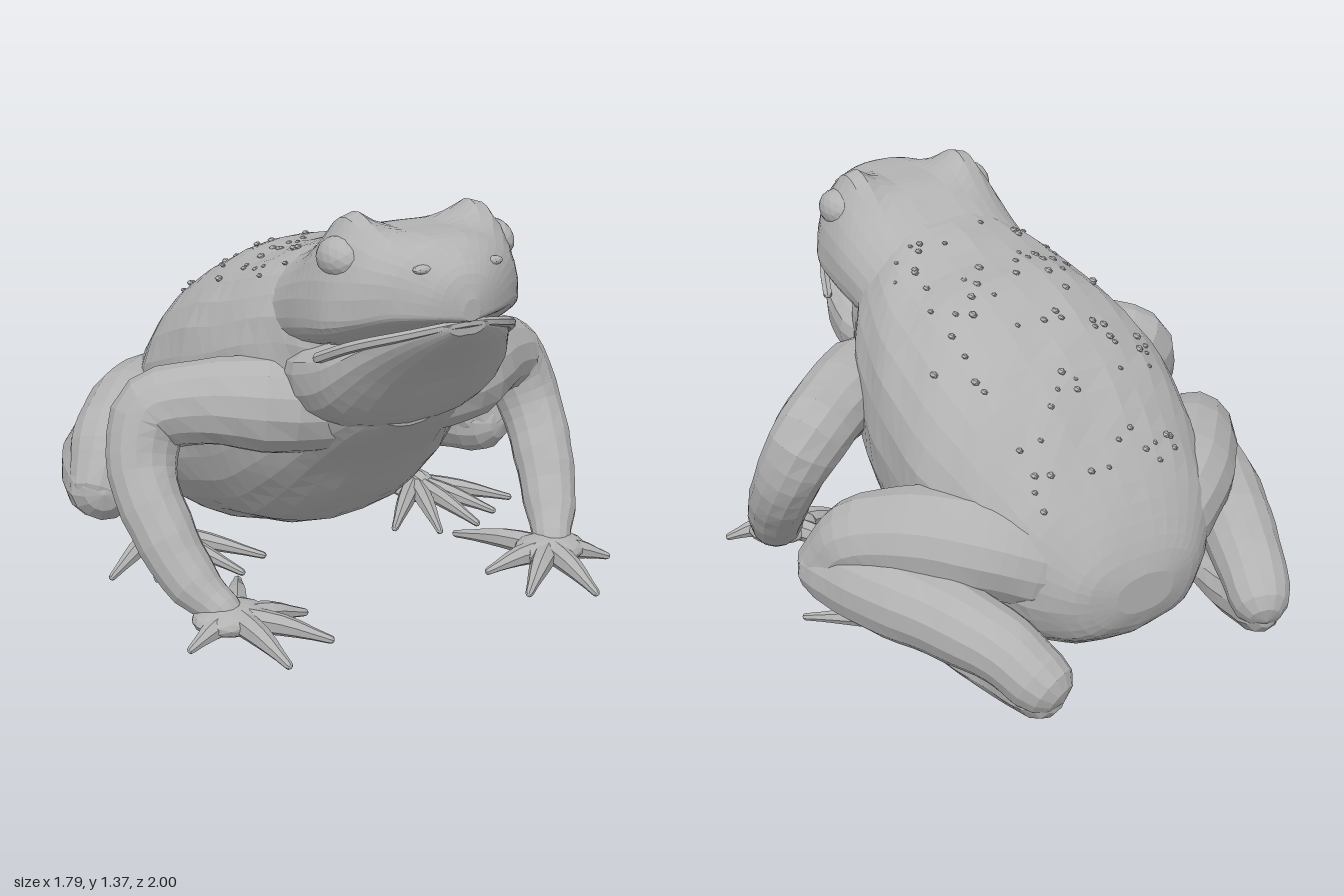
import * as THREE from 'three';

const skin = new THREE.MeshStandardMaterial({ color: 0xb2b2b2 });
skin.name = 'grey skin';
const V = (x, y, z) => new THREE.Vector3(x, y, z);

// Gentle symmetric unevenness, depending only on position
const bump = (p, a) => a * Math.sin(23 * Math.abs(p.x) + 17 * p.y) * Math.sin(19 * p.z - 13 * p.y);

// Faceted mesh from a grid of closed rings
function skinRings(rings, name, wobble = 0) {
  const n = rings[0].length, pos = [], idx = [];
  for (const ring of rings) {
    const c = ring.reduce((s, p) => s.add(p), V(0, 0, 0)).divideScalar(n);
    for (const p of ring) {
      const d = p.clone().sub(c);
      if (d.length() > 0.03) d.setLength(d.length() + bump(p, wobble));
      pos.push(...d.add(c).toArray());
    }
  }
  for (let i = 0; i < rings.length - 1; i++) {
    for (let j = 0; j < n; j++) {
      const k = (j + 1) % n, a = i * n + j, b = i * n + k, c = a + n, d = b + n;
      idx.push(a, c, b, b, c, d);
    }
  }
  const g = new THREE.BufferGeometry();
  g.setAttribute('position', new THREE.Float32BufferAttribute(pos, 3));
  g.setIndex(idx);
  return facet(g, name);
}

function facet(g, name) {
  const flat = g.index ? g.toNonIndexed() : g;
  flat.computeVertexNormals();
  const m = new THREE.Mesh(flat, skin);
  m.name = name;
  return m;
}

// Smooth interpolation of a list of number rows, u from 0 to 1
function sample(rows, u) {
  const f = u * (rows.length - 1), i = Math.min(Math.floor(f), rows.length - 2), t = f - i;
  const at = k => rows[Math.max(0, Math.min(rows.length - 1, k))];
  return rows[0].map((_, c) => {
    const [a, b, d, e] = [at(i - 1)[c], at(i)[c], at(i + 1)[c], at(i + 2)[c]];
    return b + 0.5 * t * (d - a + t * (2 * a - 5 * b + 4 * d - e + t * (3 * (b - d) + e - a)));
  });
}

// Point on a section [z, top, bottom, halfWidth, heightOfWidestPoint]
function sectionPoint([z, top, bottom, w, mid], t) {
  const c = Math.cos(t), s = Math.sin(t), p = 0.85;
  return V(w * Math.sign(c) * Math.abs(c) ** p,
    mid + (s > 0 ? top - mid : mid - bottom) * Math.sign(s) * Math.abs(s) ** p, z);
}

// Loft through sections; shape may move each point
function loft(rows, name, count, sides, wobble, shape = p => p) {
  const rings = [];
  const ring = row => Array.from({ length: sides }, (_, j) => shape(sectionPoint(row, j / sides * Math.PI * 2)));
  const tip = row => Array.from({ length: sides }, () => V(0, row[4], row[0]));
  rings.push(tip(rows[0]));
  for (let i = 0; i <= count; i++) rings.push(ring(sample(rows, i / count)));
  rings.push(tip(rows[rows.length - 1]));
  return skinRings(rings, name, wobble);
}

// Raises the two brows out of the top of the head
function raiseBrows(p) {
  const up = Math.min(1, Math.max(0, (p.y - 1.08) / 0.1));
  const e = ((Math.abs(p.x) - 0.235) / 0.085) ** 2 + ((p.z - 0.65) / 0.13) ** 2;
  p.y += 0.1 * up * Math.exp(-e);
  return p;
}

// Round-ended limb through points [x, y, z, radius]; side mirrors x
function limb(points, name, side = 1, count = 14, sides = 12, wobble = 0.004) {
  const curve = new THREE.CatmullRomCurve3(points.map(p => V(p[0] * side, p[1], p[2])));
  const rings = [], N = V(0, 1, 0.3);
  const add = (u, shift, scale) => {
    const T = curve.getTangent(u), c = curve.getPoint(u);
    const r = sample(points.map(p => [p[3]]), u)[0];
    c.addScaledVector(T, shift * r);
    N.addScaledVector(T, -N.dot(T)).normalize(); // carried along, so the limb never twists
    const B = T.clone().cross(N);
    rings.push(Array.from({ length: sides }, (_, j) => {
      const a = j / sides * Math.PI * 2;
      return c.clone().addScaledVector(N, Math.cos(a) * r * scale).addScaledVector(B, -Math.sin(a) * r * scale);
    }));
  };
  const caps = [0, 0.5, 0.85];
  caps.forEach(s => add(0, -Math.sqrt(1 - s * s), s));
  for (let i = 0; i <= count; i++) add(i / count, 0, 1);
  caps.slice().reverse().forEach(s => add(1, Math.sqrt(1 - s * s), s));
  return skinRings(rings, name, wobble);
}

function blob(name, pos, scale, detail = 2) {
  const g = new THREE.IcosahedronGeometry(1, detail);
  g.scale(...scale);
  g.translate(...pos);
  return facet(g, name);
}

const BODY = [
  [0.64, 1.0, 0.64, 0.2, 0.85], [0.56, 1.18, 0.56, 0.3, 0.82], [0.42, 1.235, 0.42, 0.37, 0.8],
  [0.28, 1.215, 0.26, 0.45, 0.76], [0.12, 1.165, 0.13, 0.5, 0.69], [-0.05, 1.14, 0.08, 0.535, 0.63],
  [-0.25, 1.05, 0.02, 0.545, 0.56], [-0.42, 0.94, 0.0, 0.51, 0.5], [-0.58, 0.78, 0.03, 0.44, 0.44],
  [-0.72, 0.62, 0.09, 0.355, 0.38], [-0.81, 0.48, 0.16, 0.24, 0.34], [-0.845, 0.39, 0.25, 0.12, 0.32],
];
const HEAD = [
  [1.0, 1.15, 1.08, 0.03, 1.1], [0.97, 1.23, 1.07, 0.11, 1.1], [0.89, 1.3, 1.045, 0.22, 1.1],
  [0.8, 1.315, 1.0, 0.3, 1.07], [0.7, 1.315, 0.94, 0.355, 1.05], [0.58, 1.31, 0.9, 0.365, 1.03],
  [0.45, 1.265, 0.85, 0.36, 1.0], [0.3, 1.2, 0.8, 0.36, 0.95],
];
const THROAT = [
  [0.975, 1.07, 1.03, 0.07, 1.06], [0.9, 1.05, 0.95, 0.18, 1.03], [0.8, 1.0, 0.84, 0.27, 0.97],
  [0.7, 0.97, 0.71, 0.335, 0.9], [0.62, 0.97, 0.635, 0.355, 0.86], [0.48, 0.95, 0.6, 0.365, 0.82],
  [0.3, 0.9, 0.62, 0.3, 0.8],
];

export function createModel() {
  const model = new THREE.Group();
  model.name = 'toad';
  model.add(loft(BODY, 'body', 30, 32, 0.007));
  model.add(loft(HEAD, 'head', 24, 36, 0.004, raiseBrows));
  model.add(loft(THROAT, 'throat', 14, 24, 0.005));

  // Lower lip following the mouth line
  model.add(limb([[-0.345, 0.92, 0.66, 0.018], [-0.29, 0.98, 0.78, 0.018], [-0.17, 1.03, 0.9, 0.016],
    [0, 1.065, 0.972, 0.014], [0.17, 1.03, 0.9, 0.016], [0.29, 0.98, 0.78, 0.018],
    [0.345, 0.92, 0.66, 0.018]], 'lowerLip', 1, 20, 6, 0));

  for (const s of [1, -1]) {
    const label = s > 0 ? 'left' : 'right';

    // Eyes and nostrils
    const face = new THREE.Group();
    face.name = label + 'Eye';
    face.add(blob('eyeball', [s * 0.275, 1.235, 0.67], [0.068, 0.07, 0.095]));
    face.add(blob('nostril', [s * 0.125, 1.235, 0.915], [0.035, 0.015, 0.02], 1));
    model.add(face);

    // Front leg with its fingers
    const front = new THREE.Group();
    front.name = label + 'FrontLeg';
    front.add(limb([[0.06, 0.65, 0.43, 0.13], [0.34, 0.685, 0.38, 0.165], [0.56, 0.69, 0.25, 0.14],
      [0.7, 0.64, 0.165, 0.135], [0.765, 0.48, 0.21, 0.115], [0.75, 0.31, 0.335, 0.105],
      [0.7, 0.16, 0.46, 0.09], [0.64, 0.085, 0.56, 0.065]], 'arm', s, 24, 14));
    front.add(blob('palm', [s * 0.62, 0.065, 0.58], [0.13, 0.05, 0.11]));
    [[0.44, 0.25], [0.36, 0.59], [0.38, 0.81], [0.58, 0.91], [0.8, 0.67]].forEach(([x, z]) => front.add(
      limb([[0.61, 0.065, 0.59, 0.045], [(x + 0.61) / 2, 0.06, (z + 0.59) / 2, 0.036],
        [x, 0.03, z, 0.014]], 'finger', s, 6, 7, 0)));
    model.add(front);

    // Folded hind leg with five toes
    const hind = new THREE.Group();
    hind.name = label + 'HindLeg';
    hind.add(limb([[0.27, 0.41, -0.6, 0.16], [0.41, 0.46, -0.51, 0.17], [0.57, 0.475, -0.35, 0.165],
      [0.71, 0.42, -0.19, 0.145], [0.77, 0.33, -0.13, 0.125]], 'thigh', s, 16, 14));
    hind.add(limb([[0.77, 0.31, -0.135, 0.13], [0.7, 0.3, -0.33, 0.145], [0.6, 0.285, -0.55, 0.14],
      [0.5, 0.235, -0.78, 0.12], [0.455, 0.175, -0.89, 0.11]], 'shin', s, 16, 14));
    hind.add(limb([[0.45, 0.12, -0.89, 0.085], [0.48, 0.085, -0.68, 0.07], [0.52, 0.065, -0.4, 0.055],
      [0.55, 0.055, -0.18, 0.05]], 'foot', s, 12, 10));
    hind.add(blob('sole', [s * 0.53, 0.045, -0.2], [0.1, 0.035, 0.17]));
    [[0.27, 0.1], [0.4, 0.2], [0.56, 0.2], [0.68, 0.12], [0.81, 0.03]].forEach(([x, z]) => hind.add(
      limb([[0.54, 0.055, -0.22, 0.038], [0.54 + (x - 0.54) * 0.5, 0.05, (z - 0.22) / 2, 0.032],
        [x, 0.03, z, 0.013]], 'toe', s, 6, 7, 0)));
    model.add(hind);
  }

  // Small flat warts scattered over the back
  let seed = 7;
  const rand = () => (seed = (seed * 16807) % 2147483647) / 2147483647;
  const warts = new THREE.Group();
  warts.name = 'warts';
  for (let i = 0; i < 80; i++) {
    const p = sectionPoint(sample(BODY, 0.25 + rand() * 0.55), Math.PI * (0.25 + rand() * 0.5));
    const r = 0.008 + rand() * 0.006;
    warts.add(blob('wart', p.toArray(), [r, r * 0.8, r * 1.4], 0));
  }
  model.add(warts);
  return model;
}
